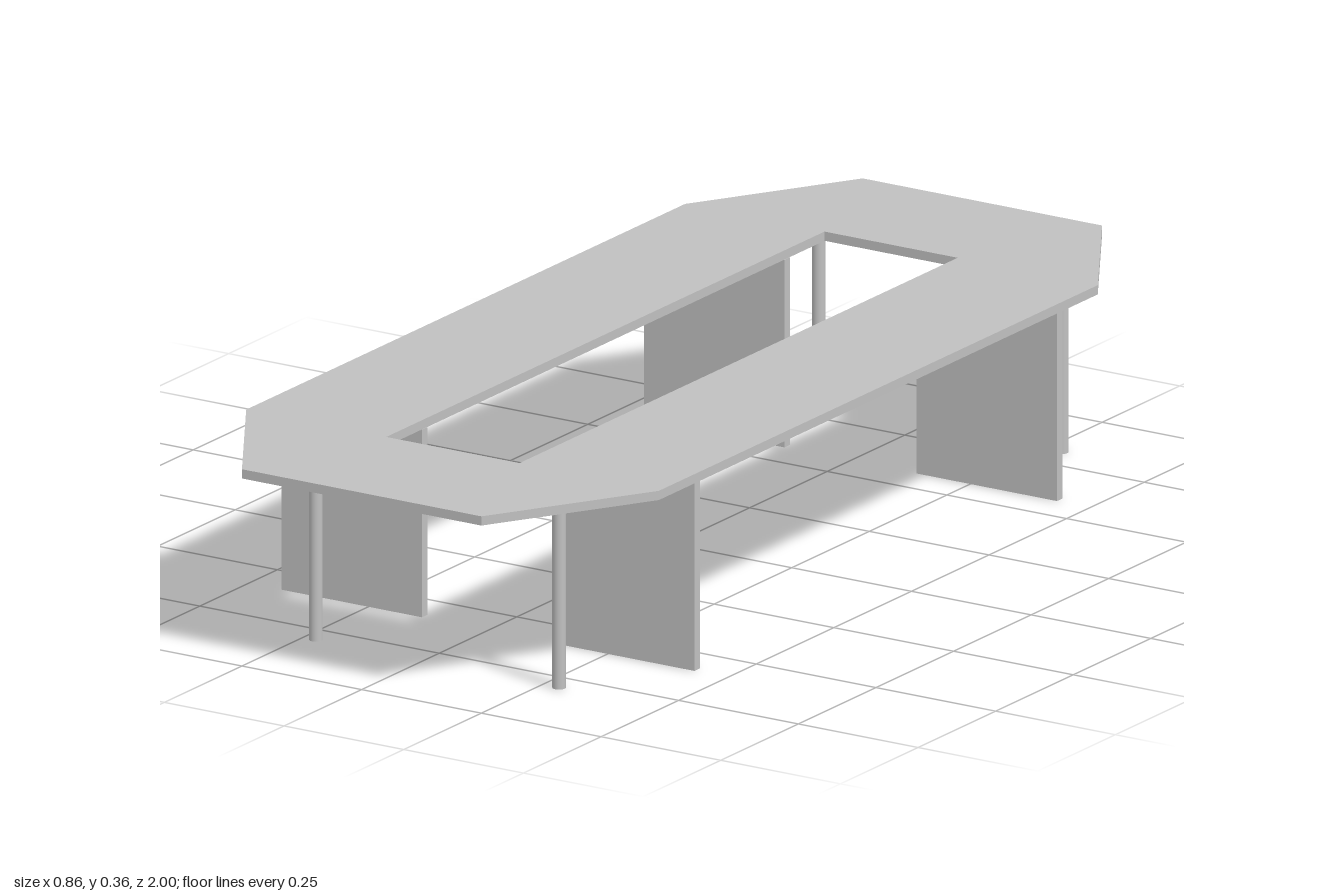
import * as THREE from 'three';

const HEIGHT = 0.362, THICK = 0.017, LEG = HEIGHT - THICK;

export function createModel() {
  const group = new THREE.Group();
  group.name = 'conferenceTable';
  const grey = new THREE.MeshStandardMaterial({ color: 0xc0c0c0 });
  grey.name = 'light grey';

  const add = (name, geometry, x, y, z) => {
    const mesh = new THREE.Mesh(geometry, grey);
    mesh.name = name;
    mesh.position.set(x, y, z);
    group.add(mesh);
    return mesh;
  };
  const points = (list) => list.map(([x, y]) => new THREE.Vector2(x, y));

  // Octagonal ring top with a long rectangular opening
  const outline = new THREE.Shape(points([
    [0.25, -1], [0.431, -0.707], [0.431, 0.707], [0.25, 1],
    [-0.25, 1], [-0.431, 0.707], [-0.431, -0.707], [-0.25, -1],
  ]));
  outline.holes.push(new THREE.Path(points([
    [-0.139, -0.706], [-0.139, 0.706], [0.139, 0.706], [0.139, -0.706],
  ])));
  const topGeometry = new THREE.ExtrudeGeometry(outline, { depth: THICK, bevelEnabled: false });
  topGeometry.rotateX(-Math.PI / 2);
  add('tableTop', topGeometry, 0, LEG, 0);

  // Four panel legs across the long sides
  const panel = new THREE.BoxGeometry(0.293, LEG, THICK);
  for (const [side, x] of [['Left', 0.2845], ['Right', -0.2845]]) {
    add(`frontPanel${side}`, panel, x, LEG / 2, 0.584);
    add(`backPanel${side}`, panel, x, LEG / 2, -0.584);
  }

  // Round posts under both ends, set slightly off centre
  const post = new THREE.CylinderGeometry(0.012, 0.012, LEG, 24);
  for (const [side, x] of [['Left', 0.284], ['Right', -0.224]]) {
    add(`frontPost${side}`, post, x, LEG / 2, 0.802);
    add(`backPost${side}`, post, x, LEG / 2, -0.818);
  }

  return group;
}
